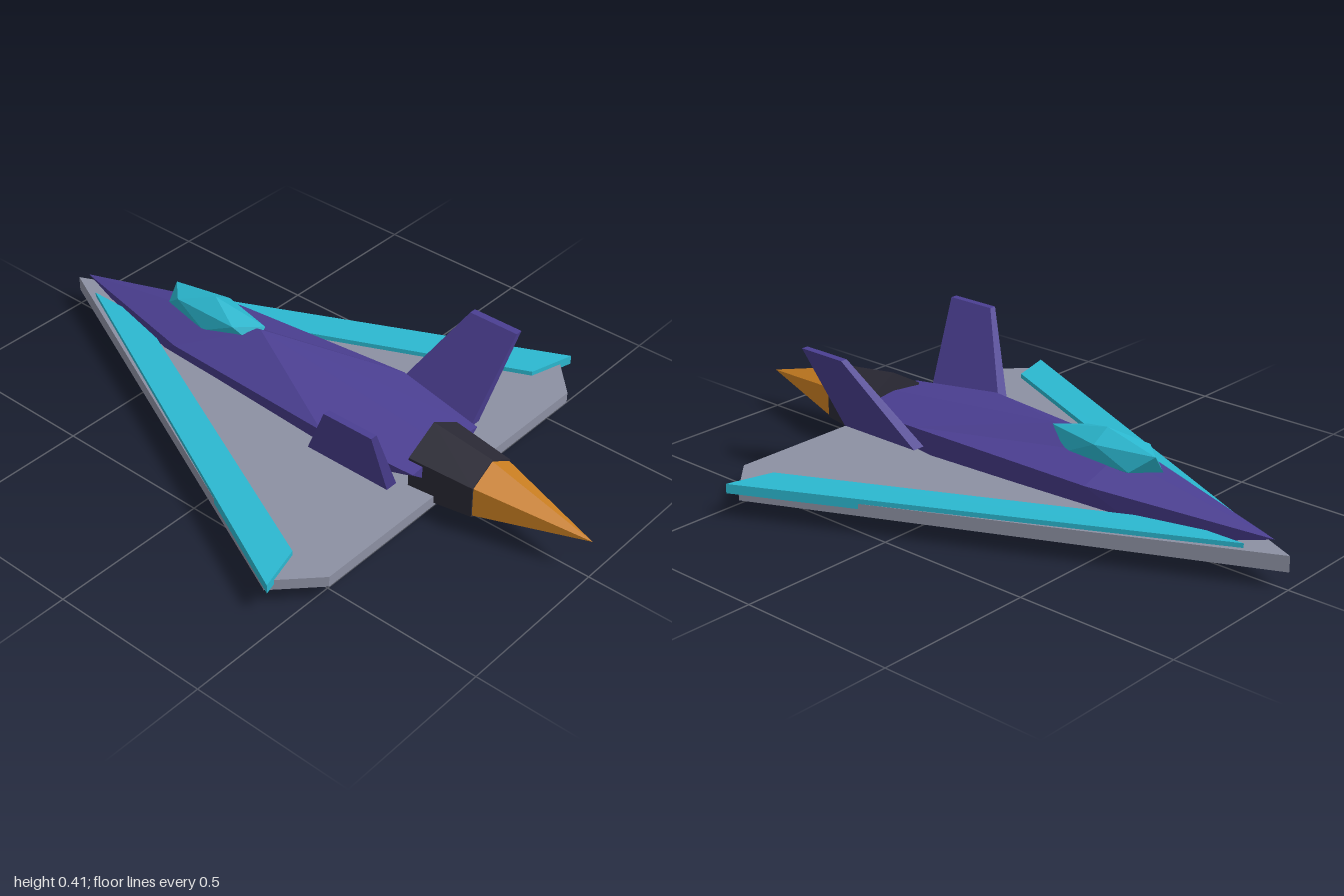
import * as THREE from 'three';

const material = (name, color) => {
  const m = new THREE.MeshStandardMaterial({ color, flatShading: true });
  m.name = name;
  return m;
};

// Skin closed rings of [x, y, z] points into a faceted solid with flat caps
function loft(rings) {
  const tris = [];
  const n = rings[0].length;
  const add = (a, b, c) => {
    const t = [a, b, c].map((p) => new THREE.Vector3(...p));
    const area = t[1].clone().sub(t[0]).cross(t[2].clone().sub(t[0])).length();
    if (area > 1e-8) tris.push(t);
  };
  for (let i = 0; i < rings.length - 1; i++) {
    for (let j = 0; j < n; j++) {
      const k = (j + 1) % n;
      add(rings[i][j], rings[i + 1][k], rings[i][k]);
      add(rings[i][j], rings[i + 1][j], rings[i + 1][k]);
    }
  }
  const first = rings[0], last = rings[rings.length - 1];
  for (let j = 1; j < n - 1; j++) {
    add(first[0], first[j], first[j + 1]);
    add(last[0], last[j + 1], last[j]);
  }
  // Turn every face outward, whichever way the rings run
  const volume = tris.reduce((s, [a, b, c]) => s + a.dot(b.clone().cross(c)), 0);
  const points = tris.flatMap(([a, b, c]) => (volume < 0 ? [a, c, b] : [a, b, c]));
  const g = new THREE.BufferGeometry().setFromPoints(points);
  g.computeVertexNormals();
  return g;
}

export function createModel() {
  const model = new THREE.Group();
  const purple = material('hull purple', 0x4b3f92);
  const cyan = material('trim cyan', 0x2bb8d0);
  const grey = material('wing grey', 0x8c90a2);
  const dark = material('engine dark', 0x2b2a36);
  const orange = material('flame orange', 0xcc8022);

  const add = (name, geometry, mat) => {
    const mesh = new THREE.Mesh(geometry, mat);
    mesh.name = name;
    model.add(mesh);
    return mesh;
  };

  // Delta wing plate, slightly thicker at the nose
  const outline = [[0, -1], [0.665, 0.42], [0.54, 0.54], [-0.54, 0.54], [-0.665, 0.42]];
  add('deltaWing', loft([
    outline.map(([x, z]) => [x, z < 0 ? 0.055 : 0.06, z]),
    outline.map(([x, z]) => [x, z < 0 ? 0.103 : 0.094, z]),
  ]), grey);

  // Fuselage: ridge, shoulders and belly edges, each given as half a section
  const section = (ridge, shoulder, belly) => {
    const flip = ([x, y, z]) => [-x, y, z];
    return [ridge, shoulder, belly, flip(belly), flip(shoulder)];
  };
  const nose = [0, 0.135, -0.95];
  add('fuselage', loft([
    section(nose, nose, nose),
    section([0, 0.227, -0.42], [0.145, 0.18, -0.42], [0.05, 0.035, -0.6]),
    section([0, 0.265, -0.2], [0.185, 0.2, 0.2], [0.08, 0.012, 0.17]),
    section([0, 0.19, 0.5], [0.145, 0.175, 0.5], [0.09, 0.13, 0.5]),
  ]), purple);

  // Leading edge strips and canted tail fins, mirrored
  for (const [side, s] of [['left', 1], ['right', -1]]) {
    const strip = [[0.04, -0.88], [0.685, 0.45], [0.54, 0.41], [0.04, -0.66]];
    add(side + 'LeadingEdge', loft([
      strip.map(([x, z]) => [s * x, 0.08, z]),
      strip.map(([x, z]) => [s * x, z < 0 ? 0.116 : 0.109, z]),
    ]), cyan);

    add(side + 'TailFin', loft([
      [[s * 0.167, 0.14, 0.17], [s * 0.207, 0.14, 0.17], [s * 0.207, 0.14, 0.46], [s * 0.167, 0.14, 0.46]],
      [[s * 0.308, 0.41, 0.335], [s * 0.33, 0.41, 0.335], [s * 0.33, 0.41, 0.5], [s * 0.308, 0.41, 0.5]],
    ]), purple);
  }

  // Faceted canopy: a stretched icosahedron standing on one corner
  const canopyShape = new THREE.IcosahedronGeometry(1, 0);
  canopyShape.rotateZ(-Math.atan(2 / (1 + Math.sqrt(5))));
  canopyShape.scale(0.067, 0.063, 0.216);
  add('canopy', canopyShape, cyan).position.set(0, 0.238, -0.382);

  // Six-sided engine nozzle and exhaust flame, corners up
  const hexAlongZ = (rBack, rFront, length) =>
    new THREE.CylinderGeometry(rBack, rFront, length, 6).rotateX(Math.PI / 2);
  add('engineNozzle', hexAlongZ(0.099, 0.125, 0.205), dark).position.set(0, 0.128, 0.5575);
  add('exhaustFlame', hexAlongZ(0, 0.094, 0.34), orange).position.set(0, 0.128, 0.83);

  // Rest the lowest corner of the nozzle on the ground
  const box = new THREE.Box3().setFromObject(model);
  model.children.forEach((part) => { part.position.y -= box.min.y; });
  return model;
}
